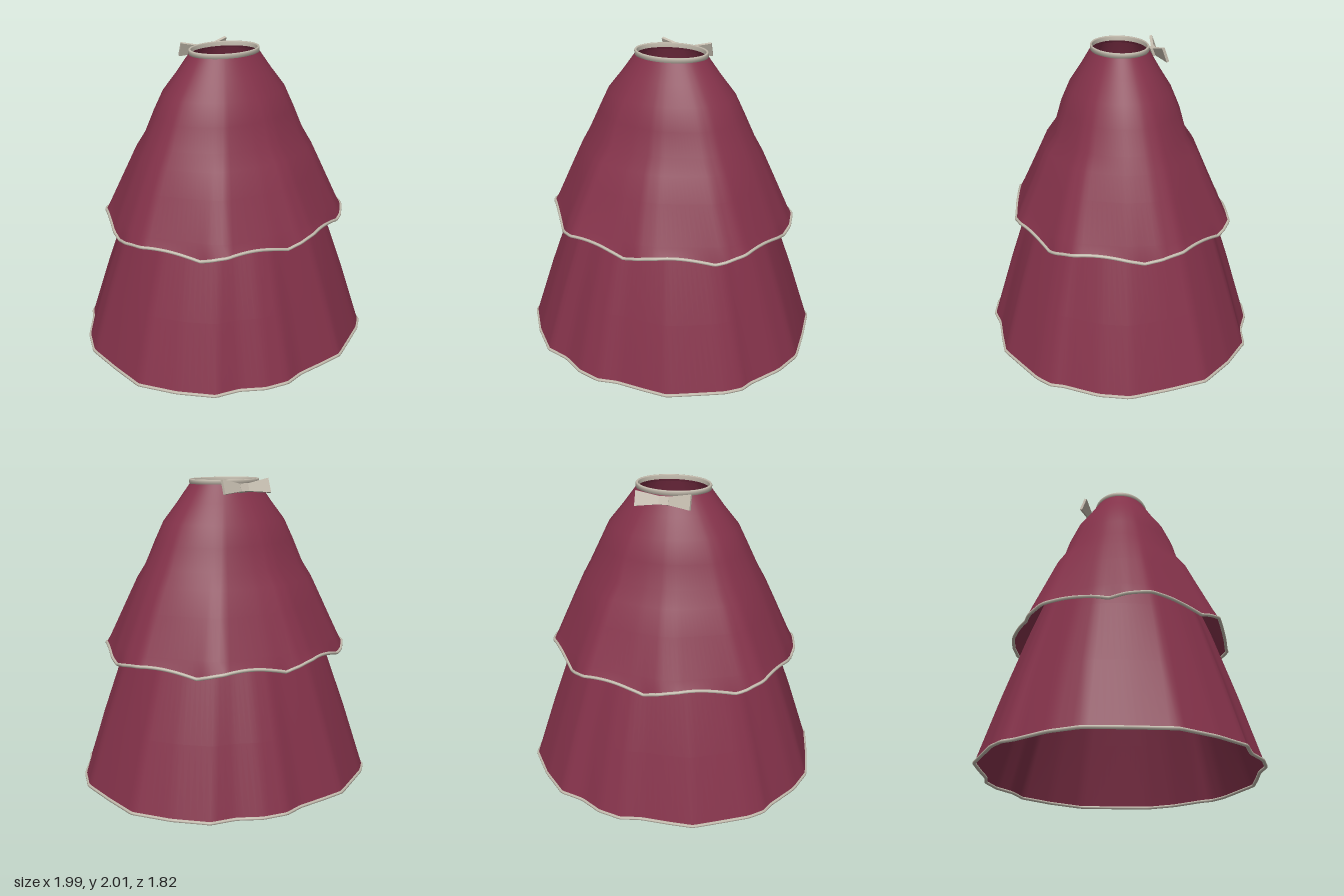
import * as THREE from 'three';

const SEG = 144;

// Half outlines (x, z) of the hems; the other half is the same turned by 180 degrees.
const OVER_HEM = [[0.1, -0.7], [0.42, -0.65], [0.5, -0.59], [0.79, -0.24], [0.82, -0.1],
  [0.8, 0.09], [0.695, 0.42], [0.6, 0.52], [0.21, 0.7], [0.1, 0.72]];
const UNDER_HEM = [[0.115, -0.9], [0.27, -0.87], [0.42, -0.79], [0.58, -0.755], [0.76, -0.59],
  [0.92, -0.385], [0.96, -0.14], [0.99, 0.12], [0.93, 0.31], [0.8, 0.52], [0.775, 0.59],
  [0.69, 0.67], [0.54, 0.755], [0.36, 0.855], [0.2, 0.865], [0.01, 0.87]];

// Distance from the axis to a closed outline along the direction (cos a, sin a).
function outlineRadius(half, a) {
  const pts = [...half, ...half.map(([x, z]) => [-x, -z])];
  const c = Math.cos(a), s = Math.sin(a);
  for (let i = 0; i < pts.length; i++) {
    const [x1, z1] = pts[i], [x2, z2] = pts[(i + 1) % pts.length];
    const d1 = c * z1 - s * x1, d2 = c * z2 - s * x2;
    if (d1 <= 0 && d2 > 0) {
      const t = d1 / (d1 - d2);
      return Math.hypot(x1 + (x2 - x1) * t, z1 + (z2 - z1) * t);
    }
  }
  return Math.hypot(...pts[0]);
}

function ellipseRadius(rx, rz, a) {
  return 1 / Math.hypot(Math.cos(a) / rx, Math.sin(a) / rz);
}

// Rings of points from the waist down; the ellipse turns gradually into the hem outline.
function skirtRings(levels, hem, wave) {
  const top = levels[0][0], [bottom, hx, hz] = levels[levels.length - 1];
  return levels.map(([y, rx, rz], k) => {
    const t = (top - y) / (top - bottom);
    const ring = [];
    for (let i = 0; i < SEG; i++) {
      const a = (i / SEG) * Math.PI * 2;
      const fold = outlineRadius(hem, a) / ellipseRadius(hx, hz, a);
      const r = ellipseRadius(rx, rz, a) * (1 + (fold - 1) * t);
      const dy = k === levels.length - 1 ? wave(a) : 0;
      ring.push(new THREE.Vector3(r * Math.cos(a), y + dy, r * Math.sin(a)));
    }
    return ring;
  });
}

// Join consecutive rings with outward facing quads.
function loft(rings) {
  const index = [];
  for (let k = 0; k < rings.length - 1; k++) {
    for (let i = 0; i < SEG; i++) {
      const a = k * SEG + i, b = k * SEG + ((i + 1) % SEG);
      index.push(a, b, a + SEG, b, b + SEG, a + SEG);
    }
  }
  const geo = new THREE.BufferGeometry().setFromPoints(rings.flat());
  geo.setIndex(index);
  geo.computeVertexNormals();
  return geo;
}

export function createModel() {
  const cloth = new THREE.MeshStandardMaterial({ color: 0x84324a, side: THREE.DoubleSide });
  cloth.name = 'burgundy cloth';
  const trim = new THREE.MeshStandardMaterial({ color: 0xc4bcae });
  trim.name = 'cream trim';

  const model = new THREE.Group();
  model.name = 'layeredSkirt';
  const add = (name, geo, mat, parent = model) => {
    const mesh = new THREE.Mesh(geo, mat);
    mesh.name = name;
    parent.add(mesh);
    return mesh;
  };

  // Two cloth layers, each with a ribbon along the hem
  const addLayer = (name, levels, hem, wave) => {
    const rings = skirtRings(levels, hem, wave);
    add(name, loft(rings), cloth);
    const path = new THREE.CatmullRomCurve3(rings[rings.length - 1], true);
    add(name + 'HemRibbon', new THREE.TubeGeometry(path, 216, 0.011, 6, true), trim);
  };
  addLayer('underskirt', [[1.96, 0.22, 0.165], [1.45, 0.5, 0.41], [0.88, 0.69, 0.62],
    [0.45, 0.835, 0.755], [0.013, 0.965, 0.88]], UNDER_HEM, () => 0);
  addLayer('overskirt', [[1.98, 0.235, 0.18], [1.85, 0.33, 0.255], [1.73, 0.425, 0.33],
    [1.6, 0.485, 0.385], [1.45, 0.555, 0.425], [1.35, 0.605, 0.495], [1.2, 0.67, 0.56],
    [0.96, 0.77, 0.665], [0.9, 0.8, 0.7]], OVER_HEM,
  (a) => -0.045 * (1 - Math.abs(Math.sin(4 * a))));

  // Oval waistband
  const band = new THREE.LatheGeometry([[0.93, 0], [1, 0], [1, 0.024], [0.985, 0.03],
    [0.945, 0.03], [0.93, 0.024], [0.93, 0]].map(([r, y]) => new THREE.Vector2(r, y)), 64);
  band.scale(0.245, 1, 0.187);
  add('waistband', band, trim).position.y = 1.97;

  // Bow at the back, leaning with the cloth
  const bow = new THREE.Group();
  bow.name = 'bow';
  bow.position.set(0, 1.948, -0.222);
  bow.rotation.x = 0.35;
  model.add(bow);
  for (const s of [1, -1]) {
    const shape = new THREE.Shape([[0.01, -0.022], [0.18, -0.048], [0.18, 0.048], [0.01, 0.022]]
      .map(([x, y]) => new THREE.Vector2(x * s, y)));
    const wing = new THREE.ExtrudeGeometry(shape, { depth: 0.018, bevelEnabled: false });
    wing.translate(0, 0, -0.009);
    add(s > 0 ? 'leftBowLoop' : 'rightBowLoop', wing, trim, bow).rotation.y = s * 0.22;
  }
  add('bowKnot', new THREE.BoxGeometry(0.06, 0.052, 0.036), trim, bow);

  return model;
}
